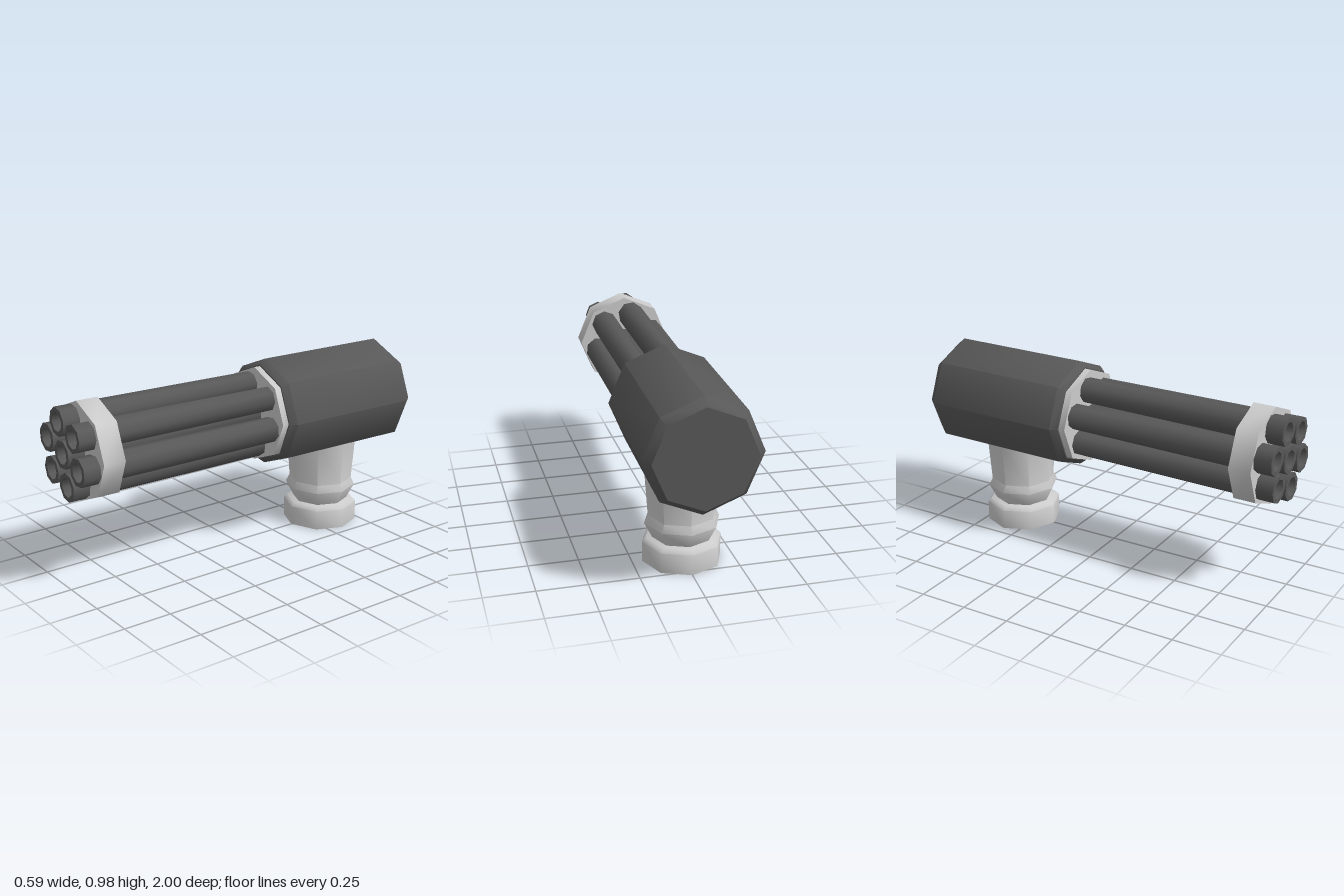
import * as THREE from 'three';
import { toCreasedNormals } from 'three/addons/utils/BufferGeometryUtils.js';

const SIDES = 8;
const light = new THREE.MeshStandardMaterial({ color: 0xcccccc });
const dark = new THREE.MeshStandardMaterial({ color: 0x585858 });

// Eight-sided turned part from [radius, height] pairs, smooth around, sharp at steep edges
function turned(name, profile, material) {
  const points = profile.map(([r, h]) => new THREE.Vector2(r, h));
  const geometry = toCreasedNormals(new THREE.LatheGeometry(points, SIDES), 0.9);
  const mesh = new THREE.Mesh(geometry, material);
  mesh.name = name;
  return mesh;
}

// Same, with the profile heights running along +z
function turnedForward(name, profile, material) {
  const mesh = turned(name, profile, material);
  mesh.geometry.rotateX(Math.PI / 2);
  return mesh;
}

const disc = (r, z0, z1) => [[0, z0], [r, z0], [r, z1], [0, z1]];

export function createModel() {
  const model = new THREE.Group();
  model.name = 'rotaryGun';

  // Pedestal: foot and bulged neck running up into the housing
  const pedestal = new THREE.Group();
  pedestal.name = 'pedestal';
  pedestal.position.z = -0.585;
  pedestal.add(
    turned('foot', [[0, 0], [0.2, 0], [0.2, 0.105], [0.18, 0.125], [0, 0.125]], light),
    turned('neck', [[0.147, 0.12], [0.19, 0.205], [0.171, 0.245], [0.188, 0.48], [0.188, 0.52], [0, 0.52]], light),
  );
  model.add(pedestal);

  // Gun assembly, turned very slightly about the vertical
  const gun = new THREE.Group();
  gun.name = 'gun';
  gun.position.set(-0.017, 0.688, 0);
  gun.rotation.y = -0.022;
  model.add(gun);

  // Housing with chamfered ends
  gun.add(turnedForward('housing', [
    [0, -0.994], [0.25, -0.994], [0.287, -0.95],
    [0.287, -0.2], [0.26, -0.165], [0, -0.165],
  ], dark));

  // Rear flange and front clamp ring
  gun.add(turnedForward('rearFlange', disc(0.252, -0.18, -0.13), light));
  gun.add(turnedForward('clampRing', disc(0.252, 0.79, 0.905), light));

  // Seven barrels: one in the middle, six around it
  const barrelProfile = [[0.066, -0.14], [0.073, 0.994], [0.05, 0.994], [0.038, 0.9]];
  const barrels = new THREE.Group();
  barrels.name = 'barrels';
  barrels.rotation.z = THREE.MathUtils.degToRad(-16.5);
  barrels.add(turnedForward('centreBarrel', barrelProfile, dark));
  for (let i = 0; i < 6; i++) {
    const angle = (i * Math.PI) / 3;
    const barrel = turnedForward('outerBarrel', barrelProfile, dark);
    barrel.position.set(0.159 * Math.cos(angle), 0.159 * Math.sin(angle), 0);
    barrel.rotation.z = angle;
    barrels.add(barrel);
  }
  gun.add(barrels);

  return model;
}
